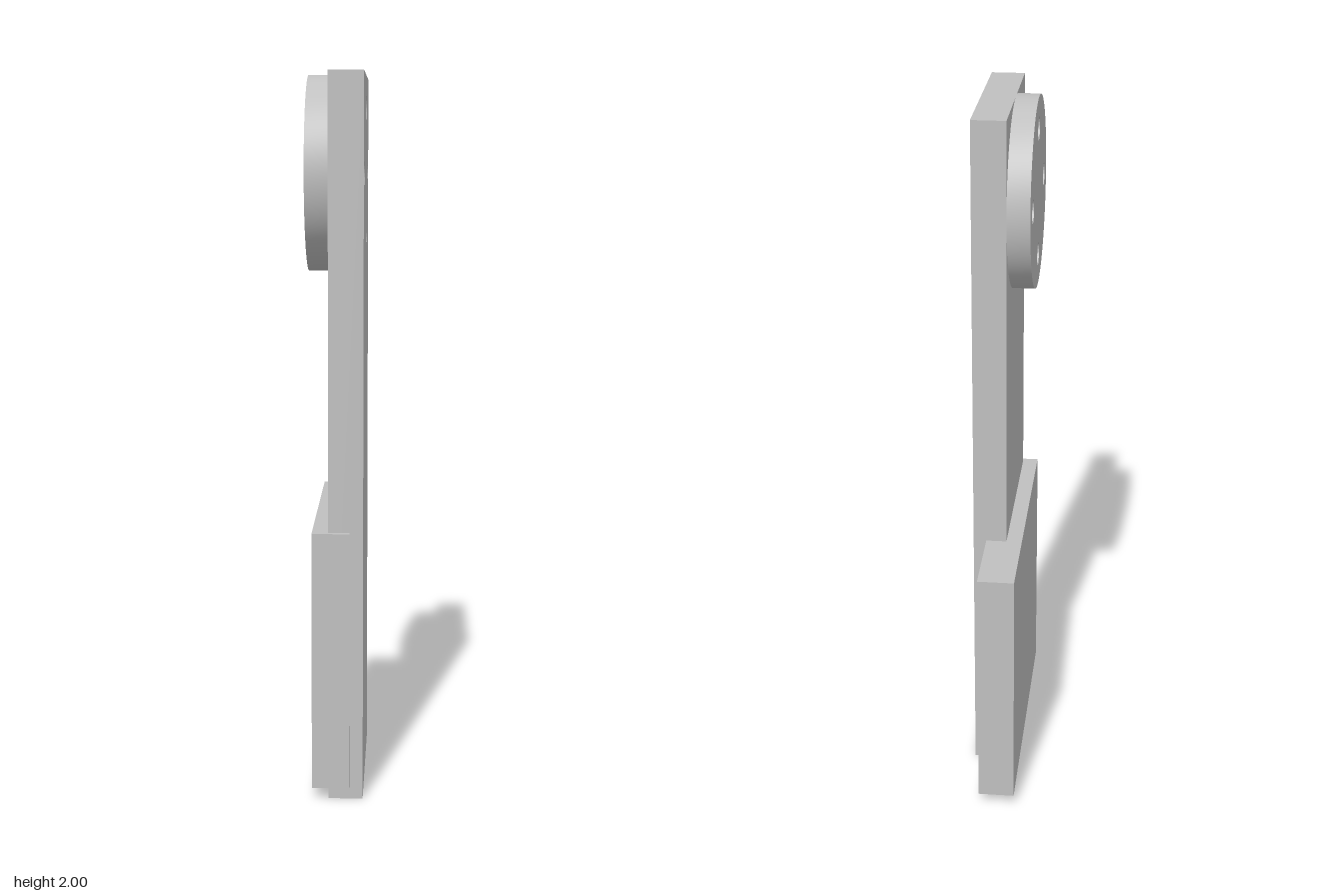
import * as THREE from 'three';
import { toCreasedNormals } from 'three/addons/utils/BufferGeometryUtils.js';

const HUB = { z: 0.113, y: 1.729, radius: 0.271 };
const BOLT_CIRCLE = 0.182;
const BOLT_RADIUS = 0.033;

// Four bolt holes on a circle around the hub centre
function addBoltHoles(shape) {
  for (let i = 0; i < 4; i++) {
    const a = (i * Math.PI) / 2;
    const hole = new THREE.Path();
    hole.absarc(HUB.z + BOLT_CIRCLE * Math.cos(a), HUB.y + BOLT_CIRCLE * Math.sin(a), BOLT_RADIUS, 0, Math.PI * 2, true);
    shape.holes.push(hole);
  }
  return shape;
}

// Extrudes a shape drawn in (z, y) between two x positions
function slab(shape, x0, x1) {
  const geo = new THREE.ExtrudeGeometry(shape, { depth: x1 - x0, bevelEnabled: false, curveSegments: 48 });
  geo.rotateY(-Math.PI / 2).translate(x1, 0, 0);
  return toCreasedNormals(geo, Math.PI / 6);
}

export function createModel() {
  const group = new THREE.Group();
  const grey = new THREE.MeshStandardMaterial({ color: 0xc0c0c0 });
  grey.name = 'grey metal';
  const add = (name, geometry) => {
    const mesh = new THREE.Mesh(geometry, grey);
    mesh.name = name;
    group.add(mesh);
  };

  // Tall arm with bolt holes near the top
  const armShape = new THREE.Shape();
  armShape.moveTo(-0.158, 0).lineTo(0.385, 0).lineTo(0.385, 2).lineTo(-0.158, 2).closePath();
  add('arm', slab(addBoltHoles(armShape), -0.017, 0.079));

  // Round mounting flange on the side of the arm
  const flangeShape = new THREE.Shape();
  flangeShape.absarc(HUB.z, HUB.y, HUB.radius, 0, Math.PI * 2, false);
  add('flange', slab(addBoltHoles(flangeShape), -0.081, -0.017));

  // Wide plate let into the lower part of the arm
  const plate = new THREE.BoxGeometry(0.104, 0.722, 0.8);
  plate.translate(-0.01, 0.396, 0);
  add('lowerPlate', plate);

  return group;
}
